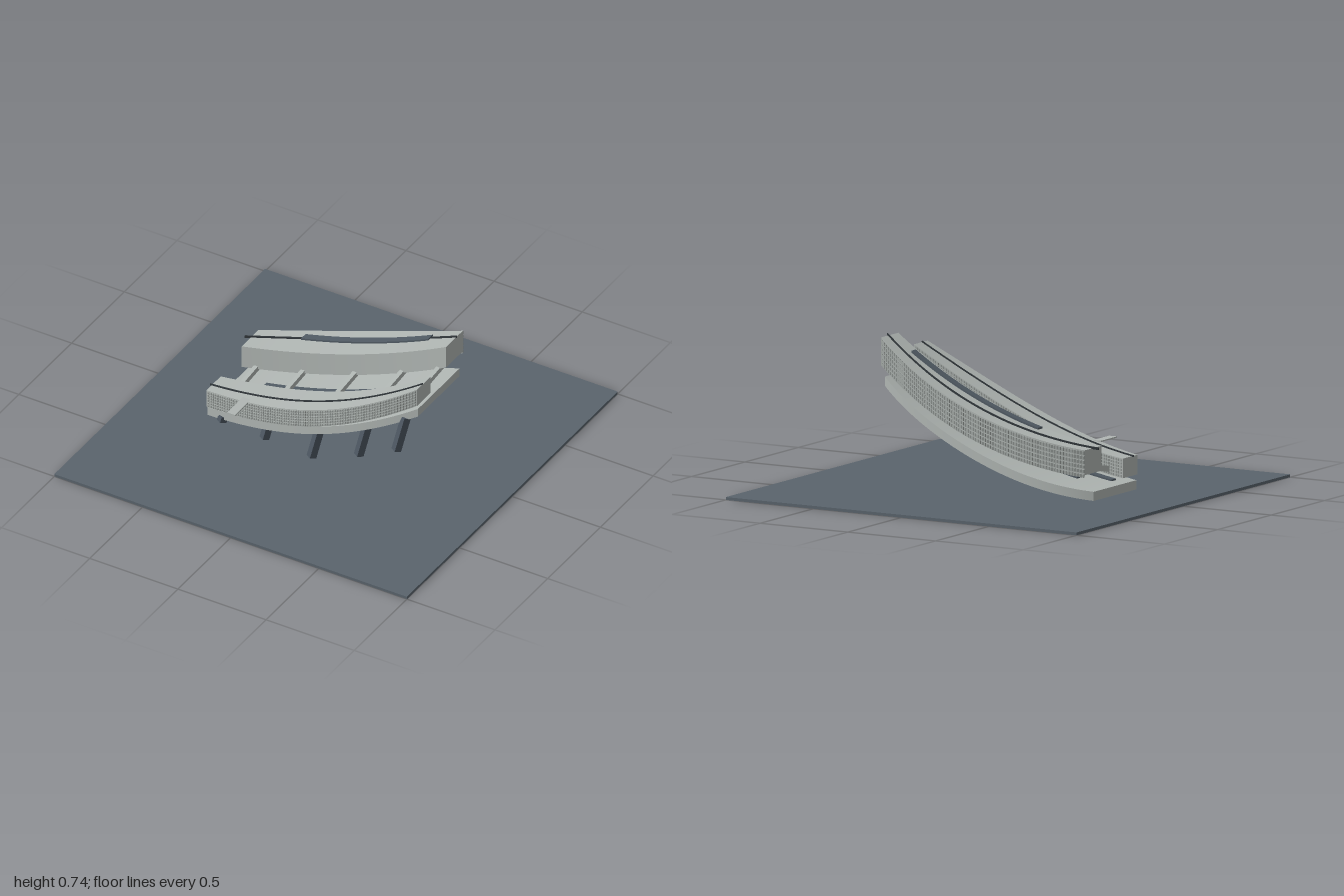
import * as THREE from 'three';
import { mergeGeometries } from 'three/addons/utils/BufferGeometryUtils.js';

const mat = (name, color) => {
  const m = new THREE.MeshStandardMaterial({ color });
  m.name = name;
  return m;
};

// Smooth function through a few [x, value] points
const through = (...pts) => (x) => pts.reduce((sum, [xi, v], i) =>
  sum + pts.reduce((p, [xj], j) => (i === j ? p : p * (x - xj) / (xi - xj)), v), 0);

// Rising line of the deck's underside
const rise = through([-0.6, 0.022], [0, 0.175], [0.6, 0.475]);

// Four-sided bar swept along x; z limits are functions of x, y limits are heights above the rise
function sweep(x0, x1, yLo, yHi, zLo, zHi, n = 40) {
  const ring = (x) => [[yLo, zHi], [yHi, zHi], [yHi, zLo], [yLo, zLo]]
    .map(([dy, z]) => [x, rise(x) + dy, z(x)]);
  const pos = [], idx = [];
  for (let s = 0; s < 4; s++) {
    const base = pos.length / 3;
    for (let i = 0; i <= n; i++) {
      const r = ring(x0 + (x1 - x0) * i / n);
      pos.push(...r[s], ...r[(s + 1) % 4]);
      if (i < n) {
        const a = base + i * 2;
        idx.push(a, a + 2, a + 1, a + 1, a + 2, a + 3);
      }
    }
  }
  for (const [x, order] of [[x0, [0, 1, 2, 3]], [x1, [0, 3, 2, 1]]]) {
    const r = ring(x), b = pos.length / 3;
    order.forEach((k) => pos.push(...r[k]));
    idx.push(b, b + 1, b + 2, b, b + 2, b + 3);
  }
  const g = new THREE.BufferGeometry();
  g.setAttribute('position', new THREE.Float32BufferAttribute(pos, 3));
  g.setIndex(idx);
  g.computeVertexNormals();
  return g;
}

const offset = (f, d) => (x) => f(x) + d;

// Wall screen made of rows of small blocks following a wall line
function screen(x0, x1, yLo, yHi, wall, out) {
  const cols = 84, rows = 6, parts = [];
  const dx = (x1 - x0) / cols, dy = (yHi - yLo) / rows;
  const zLo = offset(wall, Math.min(0, out)), zHi = offset(wall, Math.max(0, out));
  for (let i = 0; i < cols; i++) {
    for (let j = 0; j < rows; j++) {
      const x = x0 + i * dx, y = yLo + j * dy;
      parts.push(sweep(x + dx * 0.12, x + dx * 0.88, y + dy * 0.14, y + dy * 0.86, zLo, zHi, 1));
    }
  }
  return mergeGeometries(parts);
}

export function createModel() {
  const group = new THREE.Group();
  const concrete = mat('pale concrete', 0xb0b6b3);
  const screenMat = mat('screen grey', 0xa0a6a3);
  const slate = mat('slate ground', 0x5a646d);
  const glazing = mat('dark glazing', 0x505a63);
  const steel = mat('column steel', 0x4c5661);
  const trim = mat('dark trim', 0x32383c);

  const add = (name, geometry, material) => {
    const m = new THREE.Mesh(geometry, material);
    m.name = name;
    group.add(m);
    return m;
  };
  // Square bar between two points
  const bar = (name, a, b, w, h, material) => {
    const A = new THREE.Vector3(...a), B = new THREE.Vector3(...b);
    const m = add(name, new THREE.BoxGeometry(w, h, A.distanceTo(B)), material);
    m.position.copy(A).add(B).multiplyScalar(0.5);
    m.lookAt(B);
  };

  // Ground slab
  add('ground', new THREE.BoxGeometry(2, 0.014, 2), slate).position.y = 0.007;

  // Curved rising deck
  add('deck', sweep(-0.61, 0.605, 0, 0.045,
    through([-0.61, -0.2], [-0.45, -0.26], [-0.1, -0.293], [0.25, -0.265], [0.605, -0.16]),
    through([-0.61, 0.2], [-0.1, 0.265], [0.25, 0.28], [0.605, 0.235])), concrete);

  // Front gallery
  const frontOut = through([-0.6, 0.225], [-0.2, 0.287], [0.2, 0.314], [0.6, 0.243]);
  const frontIn = through([-0.6, 0.09], [0, 0.125], [0.3, 0.137], [0.6, 0.115]);
  add('frontGallery', sweep(-0.6, 0.605, 0.068, 0.165, frontIn, frontOut), concrete);
  add('frontOuterScreen', screen(-0.595, 0.6, 0.07, 0.163, frontOut, 0.007), screenMat);
  add('frontInnerScreen', screen(-0.595, 0.6, 0.07, 0.163, frontIn, -0.005), screenMat);
  const frontLine = through([-0.6, 0.175], [-0.2, 0.213], [0.2, 0.232], [0.6, 0.19]);
  add('frontRoofFin', sweep(-0.61, 0.605, 0.163, 0.172,
    offset(frontLine, -0.003), offset(frontLine, 0.003)), trim);

  // Rear gallery, taller and higher
  const rearOut = through([-0.58, -0.235], [-0.1, -0.325], [0.6, -0.2]);
  const rearIn = through([-0.58, -0.075], [-0.1, -0.1], [0.6, -0.042]);
  add('rearGallery', sweep(-0.58, 0.6, 0.125, 0.248, rearOut, rearIn), concrete);
  add('rearOuterScreen', screen(-0.58, 0.6, 0.11, 0.245, rearOut, -0.007), screenMat);
  const rearLine = through([-0.61, -0.155], [-0.1, -0.242], [0.605, -0.135]);
  add('rearRoofFin', sweep(-0.61, 0.605, 0.245, 0.257,
    offset(rearLine, -0.003), offset(rearLine, 0.003)), trim);

  // Long dark strips: one above the rear roof, two above the deck
  const strips = [
    ['roofStrip', -0.305, 0.45, 0.27, 0.279, through([-0.3, -0.2], [0.1, -0.185], [0.45, -0.145])],
    ['middleStrip', -0.44, 0.5, 0.05, 0.058, through([-0.44, -0.055], [0, -0.047], [0.5, -0.015])],
    ['frontStrip', -0.56, 0.57, 0.05, 0.058, through([-0.56, 0.07], [0, 0.082], [0.57, 0.1])],
  ];
  for (const [name, x0, x1, y0, y1, line] of strips) {
    add(name, sweep(x0, x1, y0, y1, offset(line, -0.021), offset(line, 0.021)), glazing);
  }

  // Sloping ties between the galleries and leaning columns below the front edge
  for (const x of [-0.51, -0.255, 0.04, 0.32, 0.545]) {
    const y = rise(x);
    bar('crossTie', [x - 0.006, y + 0.085, 0.13], [x + 0.014, y + 0.155, -0.2], 0.022, 0.028, concrete);
  }
  for (const [x, z] of [[-0.52, 0.2], [-0.26, 0.2], [0.035, 0.2], [0.315, 0.22], [0.54, 0.24]]) {
    const top = rise(x) + 0.015;
    const drop = Math.min(0.18, top - 0.018);
    bar('column', [x, top, z], [x - drop * 0.16, top - drop, z + drop * 0.24], 0.036, 0.036, steel);
  }

  // Small entrance canopy
  add('entranceCanopy', new THREE.BoxGeometry(0.045, 0.006, 0.15), concrete).position.set(-0.362, 0.232, 0.315);

  return group;
}
